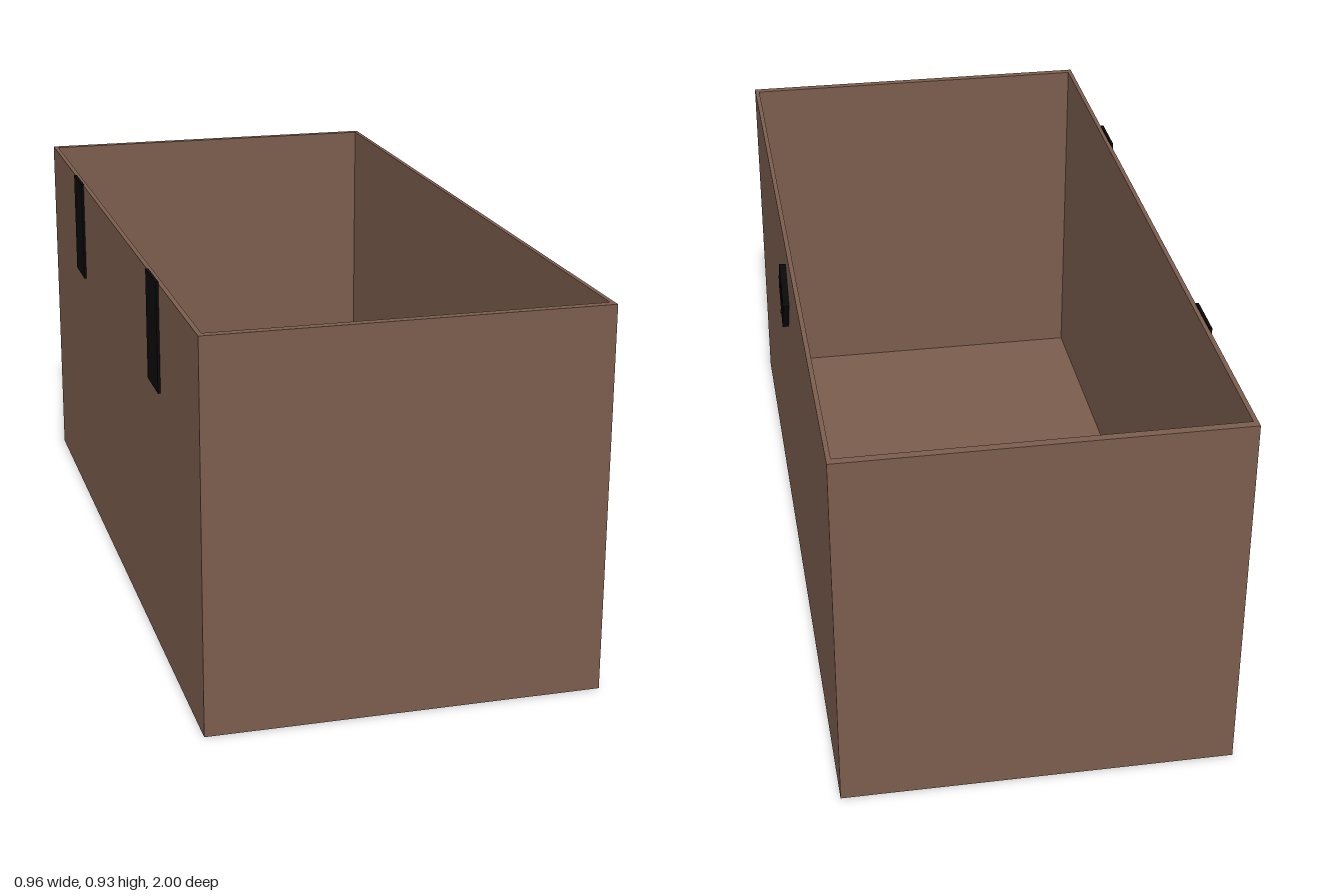
import * as THREE from 'three';

const wood = new THREE.MeshStandardMaterial({ color: 0x7a5c4d });
const iron = new THREE.MeshStandardMaterial({ color: 0x0a0a0a });

const X0 = -0.473, X1 = 0.459, Z = 1, H = 0.921;
const WALL_X = 0.011, WALL_Z = 0.02, FLOOR = 0.02;

function add(parent, name, geometry, material, x = 0, y = 0, z = 0) {
  const mesh = new THREE.Mesh(geometry, material);
  mesh.name = name;
  mesh.position.set(x, y, z);
  parent.add(mesh);
  return mesh;
}

function polygon(Type, points) {
  return new Type(points.map(([x, y]) => new THREE.Vector2(x, y)));
}

export function createModel() {
  const model = new THREE.Group();
  model.name = 'openChest';

  // Four walls as one rectangular frame, extruded upwards
  const rim = polygon(THREE.Shape, [[X0, -Z], [X1, -Z], [X1, Z], [X0, Z]]);
  const a = X0 + WALL_X, b = X1 - WALL_X, c = Z - WALL_Z;
  rim.holes.push(polygon(THREE.Path, [[a, -c], [a, c], [b, c], [b, -c]]));
  const walls = new THREE.ExtrudeGeometry(rim, { depth: H, bevelEnabled: false });
  walls.rotateX(-Math.PI / 2);
  add(model, 'walls', walls, wood);

  // Floor board inside the walls
  add(model, 'floor', new THREE.BoxGeometry(b - a, FLOOR, 2 * c), wood, (a + b) / 2, FLOOR / 2, 0);

  // Diamond lock plate with a keyhole
  const lock = new THREE.Group();
  lock.name = 'lock';
  lock.position.set(X1, 0.78, 0.003);
  lock.rotation.y = Math.PI / 2;
  model.add(lock);
  const plate = polygon(THREE.Shape, [[0, -0.09], [0.058, 0], [0, 0.09], [-0.058, 0]]);
  const keyhole = new THREE.Path();
  keyhole.moveTo(-0.012, -0.026);
  keyhole.lineTo(-0.006, 0.006);
  keyhole.absarc(0, 0.018, 0.0135, Math.PI * 1.35, -Math.PI * 0.35, true);
  keyhole.lineTo(0.012, -0.026);
  keyhole.closePath();
  plate.holes.push(keyhole);
  add(lock, 'lockPlate',
    new THREE.ExtrudeGeometry(plate, { depth: 0.016, bevelEnabled: false, curveSegments: 12 }), iron);

  // Small rivets above and below the keyhole
  for (const y of [-0.045, 0.053]) {
    const rivet = new THREE.CylinderGeometry(0.005, 0.005, 0.006, 12);
    rivet.rotateX(Math.PI / 2);
    add(lock, 'rivet', rivet, iron, 0, y, 0.016);
  }

  // Hinge leaves on the far long wall
  for (const z of [-0.518, 0.518]) {
    add(model, 'hingeLeaf', new THREE.BoxGeometry(0.007, 0.264, 0.124), iron, X0 - 0.0025, 0.793, z);
  }

  return model;
}
